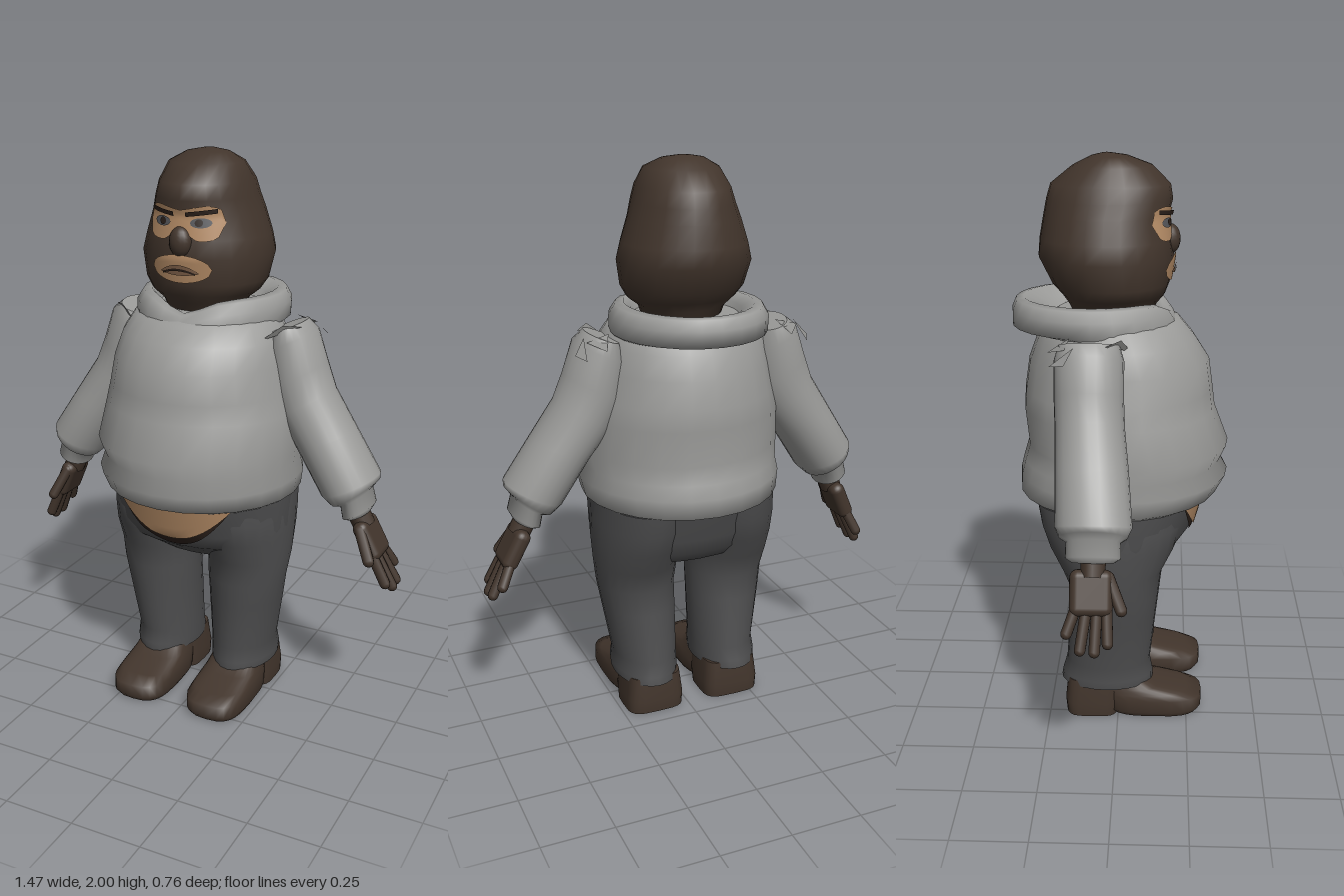
import * as THREE from 'three';
import { RoundedBoxGeometry } from 'three/addons/geometries/RoundedBoxGeometry.js';

const N = 24;
const mat = (name, color, extra = {}) => new THREE.MeshStandardMaterial({ name, color, ...extra });

// Closed cross-section at height y, from half width and front/back depth
function ring([y, rx, zF, zB], cx = 0, p = 1, dip = 0) {
  const pw = (v) => Math.sign(v) * Math.abs(v) ** p;
  return Array.from({ length: N }, (_, j) => {
    const a = (j / N) * Math.PI * 2, s = Math.sin(a), c = Math.cos(a);
    const drop = c > 0 ? dip * Math.exp(-((s / 0.38) ** 2)) : 0;
    return [cx + rx * pw(s), y - drop, (zF + zB) / 2 + ((zF - zB) / 2) * pw(c)];
  });
}

// Skin a list of cross-sections, bottom to top
function loft(sections, caps = true) {
  const pos = sections.flat(2), idx = [], last = sections.length - 1;
  for (let i = 0; i < last; i++) for (let j = 0; j < N; j++) {
    const a = i * N + j, b = i * N + ((j + 1) % N);
    idx.push(a, b, b + N, a, b + N, a + N);
  }
  if (caps) for (const [sec, up] of [[sections[0], false], [sections[last], true]]) {
    const base = pos.length / 3;
    pos.push(...sec.flat());
    pos.push(...[0, 1, 2].map((k) => sec.reduce((t, q) => t + q[k], 0) / N));
    for (let j = 0; j < N; j++) {
      const a = base + j, b = base + ((j + 1) % N);
      idx.push(base + N, ...(up ? [a, b] : [b, a]));
    }
  }
  return build(pos, idx);
}

function build(pos, idx) {
  const g = new THREE.BufferGeometry();
  g.setAttribute('position', new THREE.Float32BufferAttribute(pos, 3));
  g.setIndex(idx);
  g.computeVertexNormals();
  return g;
}

// Mirror a geometry to the other side, keeping faces outward
function side(g, s) {
  if (s > 0) return g;
  const m = g.index ? g.clone() : g.toNonIndexed();
  const p = m.attributes.position, n = m.attributes.normal;
  for (let i = 0; i < p.count; i++) { p.setX(i, -p.getX(i)); n.setX(i, -n.getX(i)); }
  const ix = Array.from(m.index.array);
  for (let i = 0; i < ix.length; i += 3) [ix[i], ix[i + 1]] = [ix[i + 1], ix[i]];
  m.setIndex(ix);
  return m;
}

// Front surface depth of a stack of rings
function frontZ(rings, x, y) {
  let i = 0;
  while (i < rings.length - 2 && rings[i + 1][0] < y) i++;
  const t = THREE.MathUtils.clamp((y - rings[i][0]) / (rings[i + 1][0] - rings[i][0]), 0, 1);
  const [, rx, f, b] = rings[i].map((v, k) => v + (rings[i + 1][k] - v) * t);
  return (f + b) / 2 + ((f - b) / 2) * Math.sqrt(Math.max(0, 1 - (x / rx) ** 2));
}

// Thin painted patch that hugs the front of a stack of rings
function patch(rings, x0, x1, top, bottom, off) {
  const U = 20, V = 8, pos = [], idx = [];
  for (let v = 0; v <= V; v++) for (let u = 0; u <= U; u++) {
    const x = x0 + ((x1 - x0) * u) / U, y = bottom(x) + ((top(x) - bottom(x)) * v) / V;
    pos.push(x, y, frontZ(rings, x, y) + off);
    if (u < U && v < V) {
      const a = v * (U + 1) + u, b = a + U + 1;
      idx.push(a, a + 1, b + 1, a, b + 1, b);
    }
  }
  return build(pos, idx);
}

const HEAD = [[1.44, .13, .10, -.15], [1.5, .15, .13, -.18], [1.53, .19, .155, -.2], [1.57, .215, .17, -.235],
  [1.66, .23, .185, -.28], [1.72, .215, .175, -.275], [1.8, .188, .165, -.26], [1.85, .17, .178, -.25],
  [1.9, .155, .17, -.235], [1.96, .128, .11, -.16], [1.99, .075, .03, -.1], [2, .02, -.03, -.06]];
const TORSO = [[.8, .32, .29, -.3], [.825, .355, .35, -.36], [.89, .368, .385, -.358], [.94, .355, .357, -.345],
  [1, .368, .385, -.327], [1.13, .352, .335, -.34], [1.2, .335, .326, -.335], [1.3, .315, .312, -.32],
  [1.38, .295, .26, -.29], [1.44, .26, .21, -.26], [1.47, .2, .14, -.22]];
const HOOD = [[1.4, .24, .2, -.26], [1.425, .27, .205, -.375], [1.48, .272, .195, -.375], [1.515, .25, .175, -.36],
  [1.52, .22, .15, -.335], [1.49, .19, .125, -.27], [1.43, .17, .1, -.2]];
const HIPS = [[.56, .2, .1, -.12], [.6, .3, .155, -.2], [.64, .325, .22, -.235], [.7, .335, .265, -.262], [.84, .338, .305, -.3]];
// y, outer x, inner x, front z, back z
const LEG = [[.12, .275, .042, .125, -.21], [.15, .278, .04, .125, -.205], [.2, .272, .04, .115, -.19], [.39, .305, .036, .135, -.175],
  [.48, .32, .034, .145, -.165], [.57, .332, .03, .155, -.2], [.66, .336, .02, .2, -.245], [.74, .336, .01, .22, -.272], [.82, .33, .01, .22, -.285]];
// outer x, y, inner x, y, centre z, half depth
const ARM = [[.63, .795, .55, .765, -.03, .07], [.645, .825, .54, .765, -.03, .09], [.63, .88, .53, .81, -.03, .088],
  [.655, .915, .5, .805, -.03, .11], [.655, .935, .46, .84, -.03, .125], [.56, 1.08, .355, 1, -.04, .12],
  [.475, 1.21, .28, 1.1, -.05, .115], [.44, 1.3, .24, 1.2, -.055, .115], [.4, 1.41, .23, 1.33, -.055, .115], [.36, 1.44, .25, 1.4, -.055, .1]];

export function createModel() {
  const model = new THREE.Group();
  model.name = 'maskedFigure';
  const body = new THREE.Group();
  body.name = 'body';
  body.position.x = -0.03;
  model.add(body);

  const brown = mat('darkBrownCloth', 0x42352c);
  const grey = mat('greySweater', 0x9b9b99);
  const torn = mat('tornSweater', 0x8f8f8d, { side: THREE.DoubleSide });
  const charcoal = mat('charcoalTrousers', 0x4e4e4f);
  const skin = mat('skin', 0xb58c66);
  const lip = mat('lips', 0x80614a);
  const eye = mat('eyeGrey', 0x55565a);
  const dark = mat('nearBlackBrown', 0x2b201a);
  const add = (name, g, m, parent = body) => {
    const mesh = new THREE.Mesh(g, m);
    mesh.name = name;
    parent.add(mesh);
    return mesh;
  };

  // Head and face
  add('balaclava', loft(HEAD.map((r) => ring(r))), brown);
  const oval = (cx, cy, w, h, s) => (x) => cy + s * h * Math.sqrt(Math.max(0, 1 - ((x - cx) / w) ** 2));
  const face = (name, x0, x1, top, bot, off, m) => add(name, patch(HEAD, x0, x1, top, bot, off), m);
  const eyeEnd = (x) => Math.sqrt(Math.max(0, 1 - (x / 0.138) ** 8));
  face('eyeOpening', -.138, .138, (x) => 1.78 + eyeEnd(x) * (.04 + .015 * Math.min(1, Math.abs(x) / .08)),
    (x) => 1.78 - eyeEnd(x) * (.02 + .04 * Math.min(1, Math.abs(x) / .06)), .005, skin);
  face('mouthOpening', -.11, .11, oval(0, 1.627, .11, .048, 1), oval(0, 1.627, .11, .048, -1), .006, skin);
  face('lips', -.07, .07, (x) => 1.642 - 5 * x * x, (x) => 1.606 + 1.8 * x * x, .011, lip);
  face('mouthLine', -.06, .06, (x) => 1.63 - 4 * x * x, (x) => 1.622 - 3.5 * x * x, .015, dark);
  for (const s of [1, -1]) {
    const [a, b] = s > 0 ? [.022, .118] : [-.118, -.022];
    face('eyebrow', a, b, (x) => 1.812 + .12 * Math.abs(x), (x) => 1.797 + .12 * Math.abs(x), .014, dark);
    face('eye', s * .07 - .034, s * .07 + .034, oval(s * .07, 1.78, .034, .016, 1), oval(s * .07, 1.78, .034, .016, -1), .009, eye);
    face('pupil', s * .066 - .013, s * .066 + .013, oval(s * .066, 1.781, .013, .012, 1), oval(s * .066, 1.781, .013, .012, -1), .013, dark);
  }
  const nose = add('nose', new THREE.SphereGeometry(1, 16, 12), brown);
  nose.scale.set(.04, .052, .035);
  nose.position.set(0, 1.715, .17);

  // Sweater with rolled hood
  add('sweater', loft(TORSO.map((r) => ring(r))), grey);
  const hoodDip = [.01, .02, .04, .05, .05, .03, 0];
  add('hood', loft(HOOD.map((r, i) => ring(r, 0, 1, hoodDip[i])), false), grey);

  // Hips, belly and exposed waistband
  add('trouserHips', loft(HIPS.map((r) => ring(r))), charcoal);
  add('waistband', patch(HIPS, -.23, .23, () => .84, (x) => .65 + 3.4 * x * x, .004), dark);
  add('belly', patch(HIPS, -.255, .255, () => .86, (x) => .685 + 2.6 * x * x, .009), skin);

  for (const s of [1, -1]) {
    // Leg and shoe
    const leg = LEG.map(([y, o, i, f, b]) => ring([y, (o - i) / 2, f, b], (o + i) / 2));
    add('trouserLeg', side(loft(leg), s), charcoal);
    const shoe = (rings, p) => side(loft(rings.map((r) => ring(r, .153, p))), s);
    add('shoeFront', shoe([[0, .1, .29, -.03], [.02, .112, .306, -.06], [.065, .112, .305, -.07], [.085, .105, .25, -.08],
      [.105, .1, .15, -.08], [.14, .09, .09, -.08]], .65), brown);
    add('shoeHeel', shoe([[0, .108, 0, -.19], [.05, .11, .01, -.195], [.14, .1, .02, -.185]], .5), brown);

    // Sleeve
    const arm = new THREE.Group();
    arm.name = s > 0 ? 'leftArm' : 'rightArm';
    arm.position.z = s > 0 ? 0 : -.035;
    body.add(arm);
    const sleeve = ARM.map(([ox, oy, ix, iy, zc, zd]) => Array.from({ length: N }, (_, j) => {
      const a = (j / N) * Math.PI * 2, k = Math.sin(a) / 2;
      return [(ox + ix) / 2 + (ox - ix) * k, (oy + iy) / 2 + (oy - iy) * k, zc + zd * Math.cos(a)];
    }));
    add('sleeve', side(loft(sleeve), s), grey, arm);
    // Ragged flaps at the shoulder seam
    add('shoulderTear', side(build([
      .37, 1.43, .0, .32, 1.44, .05, .25, 1.385, .08,
      .38, 1.42, -.13, .3, 1.44, -.12, .33, 1.4, -.19,
      .42, 1.38, -.13, .38, 1.43, -.1, .395, 1.37, -.18], [0, 1, 2, 3, 4, 5, 6, 7, 8]), s), torn, arm);

    // Hand, pointing down before it is tilted outward
    const hand = new THREE.Group();
    hand.name = 'hand';
    hand.position.set(s * .575, .81, -.03);
    hand.rotation.z = s * (s > 0 ? .5 : .41);
    arm.add(hand);
    const wrist = add('wrist', new THREE.CylinderGeometry(.042, .04, .1, 12), brown, hand);
    wrist.position.y = -.03;
    add('palm', new RoundedBoxGeometry(.058, .15, .14, 3, .027), brown, hand).position.set(0, -.13, -.005);
    const finger = (name, y0, z0, y1, z1, r) => {
      const len = Math.hypot(y1 - y0, z1 - z0);
      const f = add(name, new THREE.CapsuleGeometry(r, len, 4, 10), brown, hand);
      f.position.set(0, (y0 + y1) / 2, (z0 + z1) / 2);
      f.rotation.x = Math.atan2(z1 - z0, y1 - y0);
    };
    [[.045, .05, -.29], [.015, .008, -.317], [-.018, -.038, -.312], [-.05, -.082, -.26]].forEach(
      ([z0, z1, y1]) => finger('finger', -.17, z0, y1, z1, .019));
    finger('thumb', -.08, .05, -.185, .092, .02);
  }
  return model;
}
